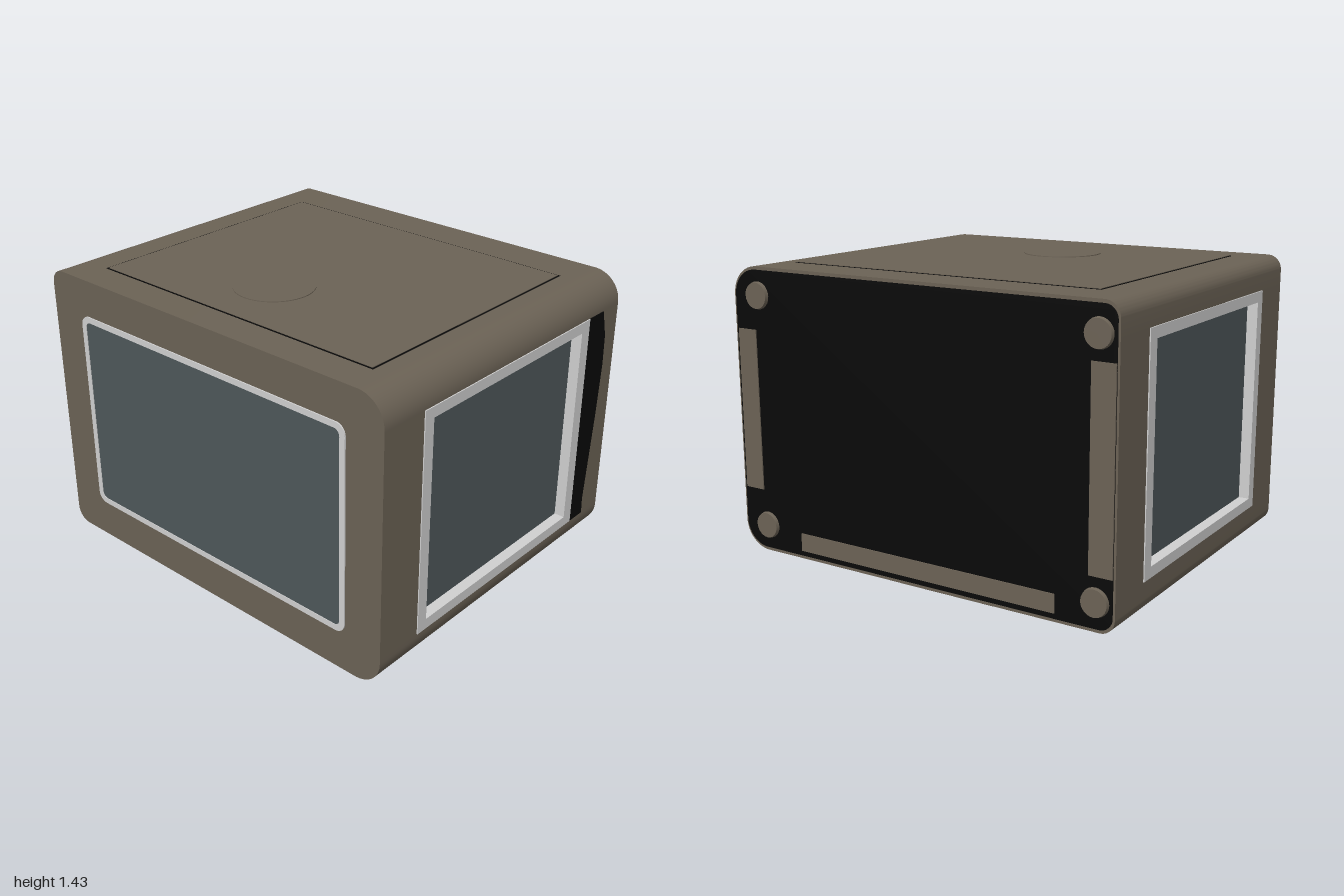
import * as THREE from 'three';
import { toCreasedNormals } from 'three/addons/utils/BufferGeometryUtils.js';

const mat = (name, color) => Object.assign(new THREE.MeshStandardMaterial({ color }), { name });

export function createModel() {
  const brown = mat('brown casing', 0x6b6255);
  const white = mat('white frame', 0xd0d0d0);
  const glass = mat('slate glass', 0x4e575a);
  const black = mat('black', 0x090909);
  const model = new THREE.Group();
  model.name = 'glazedCabinet';

  const add = (name, geometry, material, x = 0, y = 0, z = 0) => {
    const mesh = new THREE.Mesh(geometry, material);
    mesh.name = name;
    mesh.position.set(x, y, z);
    model.add(mesh);
    return mesh;
  };
  const box = (name, material, x0, x1, y0, y1, z0, z1) =>
    add(name, new THREE.BoxGeometry(x1 - x0, y1 - y0, z1 - z0), material,
      (x0 + x1) / 2, (y0 + y1) / 2, (z0 + z1) / 2);
  const extrude = (shape, depth) => toCreasedNormals(
    new THREE.ExtrudeGeometry(shape, { depth, bevelEnabled: false, curveSegments: 10 }), 0.6);

  // Rectangle with radii for bottom left, bottom right, top right, top left
  const rect = (x0, x1, y0, y1, [a, b, c, d], Type = THREE.Shape) => {
    const s = new Type();
    s.moveTo(x0 + a, y0);
    s.lineTo(x1 - b, y0);
    if (b) s.absarc(x1 - b, y0 + b, b, -Math.PI / 2, 0);
    s.lineTo(x1, y1 - c);
    if (c) s.absarc(x1 - c, y1 - c, c, 0, Math.PI / 2);
    s.lineTo(x0 + d, y1);
    if (d) s.absarc(x0 + d, y1 - d, d, Math.PI / 2, Math.PI);
    s.lineTo(x0, y0 + a);
    if (a) s.absarc(x0 + a, y0 + a, a, Math.PI, Math.PI * 1.5);
    return s;
  };

  // Casing: rounded top and bottom, with a middle notched for the side windows
  const back = -0.825, front = 0.84, left = 0.99, right = -0.995;
  add('casingTop', extrude(rect(right, left, 1.28, 1.42, [0, 0, 0.135, 0.07]), front - back), brown, 0, 0, back);
  add('casingBottom', extrude(rect(right, left, 0.07, 0.22, [0.07, 0.135, 0, 0]), front - back), brown, 0, 0, back);
  const notch = 0.05;
  const plan = new THREE.Shape([
    [right, back], [left, back], [left, -0.58], [left - notch, -0.58], [left - notch, 0.6], [left, 0.6],
    [left, front], [right, front], [right, 0.6], [right + notch, 0.6], [right + notch, -0.58], [right, -0.58],
  ].map(([x, z]) => new THREE.Vector2(x, -z)));
  add('casingMiddle', extrude(plan, 1.06), brown, 0, 0.22, 0).rotation.x = -Math.PI / 2;

  // Front window
  const round = r => [r, r, r, r];
  const frontFrame = rect(-0.8, 0.8, 0.26, 1.245, round(0.05));
  frontFrame.holes.push(rect(-0.772, 0.772, 0.288, 1.217, round(0.03), THREE.Path));
  add('frontWindowFrame', extrude(frontFrame, 0.006), white, 0, 0, front);
  add('frontGlass', extrude(rect(-0.775, 0.775, 0.285, 1.22, round(0.03)), 0.003), glass, 0, 0, front);

  // Recessed side windows
  for (const side of [1, -1]) {
    const shape = rect(-0.6, 0.58, 0.22, 1.28, round(0));
    shape.holes.push(rect(-0.545, 0.52, 0.27, 1.23, round(0), THREE.Path));
    const face = side > 0 ? left : right;
    const frame = add('sideWindowFrame', extrude(shape, notch + 0.005), white,
      side > 0 ? face - notch : face - 0.005, 0, 0);
    frame.rotation.y = Math.PI / 2;
    const inner = face - side * notch;
    box('sideGlass', glass, inner - 0.004, inner + 0.004, 0.25, 1.25, -0.54, 0.56);
  }

  // Dark curved patch behind the left window
  const patch = new THREE.Shape([[0.58, 0.22], [0.685, 0.22], [0.68, 0.3], [0.72, 0.75],
    [0.735, 1.0], [0.73, 1.15], [0.695, 1.28], [0.58, 1.28]].map(p => new THREE.Vector2(...p)));
  add('darkSidePatch', extrude(patch, 0.004), black, left, 0, 0).rotation.y = Math.PI / 2;

  // Top panel with a fine seam and a round cover
  box('topSeam', black, -0.803, 0.795, 1.418, 1.4215, -0.625, 0.68);
  box('topPanel', brown, -0.795, 0.787, 1.418, 1.424, -0.617, 0.672);
  add('roundCover', new THREE.CylinderGeometry(0.185, 0.185, 0.006, 48), brown, -0.07, 1.425, 0.33);

  // Back panel, edge strips and corner studs
  add('backPanel', extrude(rect(right + 0.01, left - 0.01, 0.085, 1.405, [0.06, 0.12, 0.12, 0.06]), 0.004),
    black, 0, 0, back - 0.004);
  box('backStrip', brown, 0.865, 0.97, 0.37, 1.13, -0.834, back);
  box('backStrip', brown, -0.985, -0.875, 0.31, 1.18, -0.834, back);
  box('backStrip', brown, -0.72, 0.64, 0.11, 0.195, -0.834, back);
  for (const x of [0.845, -0.907]) {
    for (const y of [0.2, 1.29]) {
      add('cornerStud', new THREE.CylinderGeometry(0.06, 0.065, 0.02, 24), brown, x, y, -0.835)
        .rotation.x = -Math.PI / 2;
    }
  }

  // Underside: glass, slanted flap, rounded handle and small hinges
  box('bottomSeam', black, -0.81, 0.8, 0.066, 0.071, -0.63, 0.685);
  box('bottomGlass', glass, -0.795, 0.785, 0.063, 0.07, -0.615, 0.67);
  const flap = box('slantedFlap', brown, -0.32, 0.19, 0.022, 0.052, -0.69, -0.55);
  flap.rotation.x = -0.43;
  box('flapMount', brown, -0.3, 0.17, 0.05, 0.072, -0.67, -0.57);
  add('handleBar', new THREE.CapsuleGeometry(0.023, 0.2, 6, 16), brown, 0.825, 0.046, 0.005)
    .rotation.x = Math.PI / 2;
  for (const z of [-0.06, 0.07]) box('handlePost', brown, 0.812, 0.838, 0.05, 0.08, z - 0.012, z + 0.012);
  for (const z of [-0.47, 0.52]) {
    add('hinge', new THREE.CapsuleGeometry(0.02, 0.05, 4, 12), brown, -0.9, 0.083, z).rotation.x = Math.PI / 2;
  }
  return model;
}
